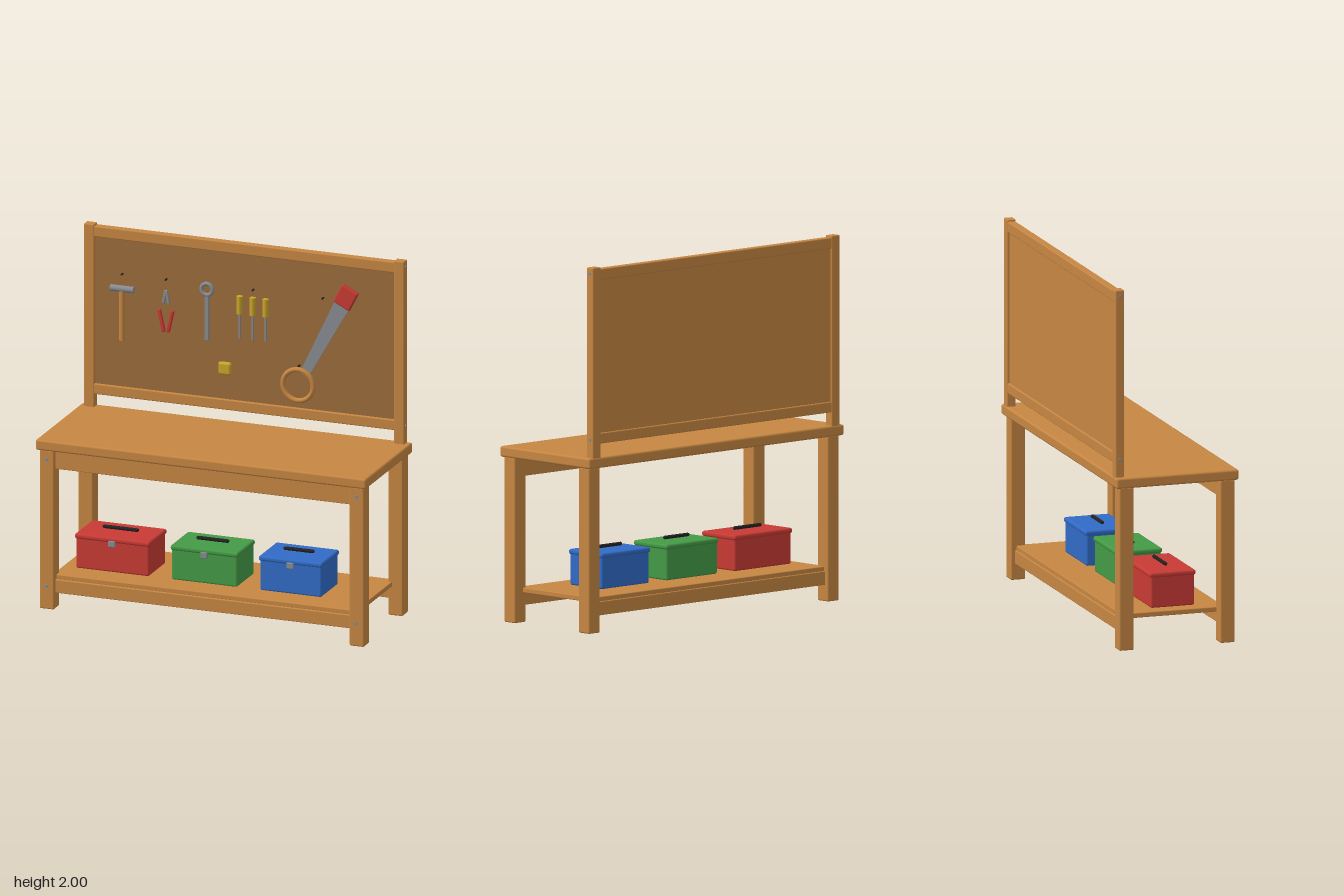
import * as THREE from 'three';
import { RoundedBoxGeometry } from 'three/addons/geometries/RoundedBoxGeometry.js';

const mat = (name, color) => new THREE.MeshStandardMaterial({ name, color });

export function createModel() {
  const wood = mat('wood', 0xc68642), board = mat('pegboard brown', 0x9a6c3a);
  const red = mat('red', 0xc83a34), green = mat('green', 0x449a46), blue = mat('blue', 0x316bc6);
  const steel = mat('steel', 0x888c92), black = mat('black', 0x222222), yellow = mat('yellow', 0xcaa42a);
  const root = new THREE.Group();
  root.name = 'workbench';

  const group = (name, parent = root) => {
    const g = new THREE.Group();
    g.name = name;
    parent.add(g);
    return g;
  };
  const add = (parent, name, geometry, material, x, y, z, rotZ = 0) => {
    const m = new THREE.Mesh(geometry, material);
    m.name = name;
    m.position.set(x, y, z);
    m.rotation.z = rotZ;
    parent.add(m);
    return m;
  };
  // Softened box given by its limits on each axis
  const block = (parent, name, material, [x0, x1], [y0, y1], [z0, z1], r = 0.008) =>
    add(parent, name, new RoundedBoxGeometry(x1 - x0, y1 - y0, z1 - z0, 2, r), material,
      (x0 + x1) / 2, (y0 + y1) / 2, (z0 + z1) / 2);
  const rod = (parent, name, material, r, length, x, y, z, rotZ = 0) =>
    add(parent, name, new THREE.CylinderGeometry(r, r, length, 16), material, x, y, z, rotZ);
  const bolt = (parent, x, y, z) => {
    rod(parent, 'bolt', steel, 0.01, 0.02, x, y, z).rotation.x = Math.PI / 2;
  };

  // Bench frame
  const bench = group('bench');
  block(bench, 'benchTop', wood, [-0.96, 0.96], [0.903, 0.962], [-0.35, 0.35], 0.012);
  for (const s of [-1, 1]) {
    const xs = [s * 0.9 - 0.042, s * 0.9 + 0.042];
    block(bench, 'frontLeg', wood, xs, [0, 0.905], [0.25, 0.334]);
    block(bench, 'backLeg', wood, xs, [0, 0.905], [-0.328, -0.244]);
    for (const y of [0.13, 0.85]) bolt(bench, s * 0.9, y, 0.332);
  }
  block(bench, 'apron', wood, [-0.87, 0.87], [0.795, 0.905], [0.27, 0.31], 0.004);
  block(bench, 'frontRail', wood, [-0.87, 0.87], [0.09, 0.165], [0.27, 0.31], 0.004);
  block(bench, 'backRail', wood, [-0.87, 0.87], [0.09, 0.165], [-0.305, -0.265], 0.004);
  block(bench, 'shelf', wood, [-0.88, 0.88], [0.162, 0.19], [-0.295, 0.295], 0.005);

  // Pegboard with its frame
  const back = group('toolWall');
  for (const s of [-1, 1]) {
    block(back, 'post', wood, [s * 0.9 - 0.03, s * 0.9 + 0.03], [0.95, 2], [-0.346, -0.295], 0.006);
    for (const y of [1.06, 1.965]) rod(back, 'screw', steel, 0.009, 0.008, s * 0.93, y, -0.32, Math.PI / 2);
  }
  block(back, 'topRail', wood, [-0.875, 0.875], [1.93, 1.99], [-0.343, -0.298], 0.006);
  block(back, 'bottomRail', wood, [-0.875, 0.875], [1.035, 1.093], [-0.343, -0.298], 0.006);
  add(back, 'panelBack', new THREE.BoxGeometry(1.75, 0.86, 0.01), wood, 0, 1.51, -0.328);
  add(back, 'panelFront', new THREE.BoxGeometry(1.75, 0.86, 0.009), board, 0, 1.51, -0.3185);
  for (const [x, y] of [[-0.71, 1.735], [-0.455, 1.735], [-0.217, 1.735], [0.05, 1.735], [0.455, 1.735], [0.317, 1.335]])
    rod(back, 'peg', black, 0.005, 0.025, x, y, -0.306).rotation.x = Math.PI / 2;

  const Z = -0.301; // depth of the hanging tools

  // Hammer
  const hammer = group('hammer');
  rod(hammer, 'hammerHead', steel, 0.018, 0.135, -0.708, 1.653, Z, Math.PI / 2);
  rod(hammer, 'hammerHandle', wood, 0.016, 0.28, -0.709, 1.5, Z);

  // Pliers
  const pliers = group('pliers');
  for (const s of [-1, 1]) {
    add(pliers, 'jaw', new RoundedBoxGeometry(0.016, 0.078, 0.014, 2, 0.005), steel, -0.455 + s * 0.009, 1.636, Z, s * 0.2);
    add(pliers, 'grip', new RoundedBoxGeometry(0.021, 0.13, 0.018, 2, 0.007), red, -0.455 + s * 0.026, 1.5, Z, -s * 0.22);
  }

  // Ring wrench
  const wrench = group('wrench');
  add(wrench, 'wrenchRing', new THREE.TorusGeometry(0.032, 0.011, 12, 28), steel, -0.217, 1.708, Z);
  block(wrench, 'wrenchShaft', steel, [-0.231, -0.204], [1.415, 1.68], [Z - 0.007, Z + 0.007], 0.005);

  // Screwdrivers
  for (const x of [-0.026, 0.05, 0.125]) {
    const driver = group('screwdriver');
    rod(driver, 'driverHandle', yellow, 0.018, 0.1, x, 1.643, Z + 0.002);
    rod(driver, 'driverShaft', steel, 0.006, 0.15, x, 1.527, Z);
  }

  // Tape measure
  block(group('tapeMeasure'), 'tapeCase', yellow, [-0.148, -0.072], [1.235, 1.308], [-0.315, -0.282], 0.015);

  // Hand saw with tapered blade
  const saw = group('handSaw');
  saw.position.set(0.592, 1.757, Z);
  saw.rotation.z = -0.475;
  const blade = new THREE.Shape([[-0.047, 0], [0.047, 0], [0.024, -0.53], [-0.03, -0.53]]
    .map(([x, y]) => new THREE.Vector2(x, y)));
  add(saw, 'blade', new THREE.ExtrudeGeometry(blade, { depth: 0.008, bevelEnabled: false }), steel, 0, 0, -0.004);
  add(saw, 'sawHandle', new RoundedBoxGeometry(0.104, 0.116, 0.03, 2, 0.009), red, 0, 0, 0);

  // Wooden ring
  add(root, 'woodenRing', new THREE.TorusGeometry(0.088, 0.014, 12, 48), wood, 0.317, 1.23, -0.288);

  // Toolboxes on the shelf
  for (const [name, m, x0, x1, h] of [
    ['redToolbox', red, -0.802, -0.378, 0.21],
    ['greenToolbox', green, -0.246, 0.135, 0.19],
    ['blueToolbox', blue, 0.267, 0.624, 0.18],
  ]) {
    const box = group(name), cx = (x0 + x1) / 2;
    block(box, 'boxBody', m, [x0, x1], [0.19, 0.37], [-0.1, 0.15], 0.01);
    block(box, 'boxLid', m, [x0 - 0.006, x1 + 0.006], [0.358, 0.387], [-0.107, 0.157], 0.012);
    add(box, 'boxHandle', new THREE.CapsuleGeometry(0.01, h - 0.02, 6, 14), black, cx, 0.403, 0.024, Math.PI / 2);
    block(box, 'latch', steel, [cx - 0.02, cx + 0.02], [0.335, 0.37], [0.145, 0.164], 0.005);
  }
  return root;
}
